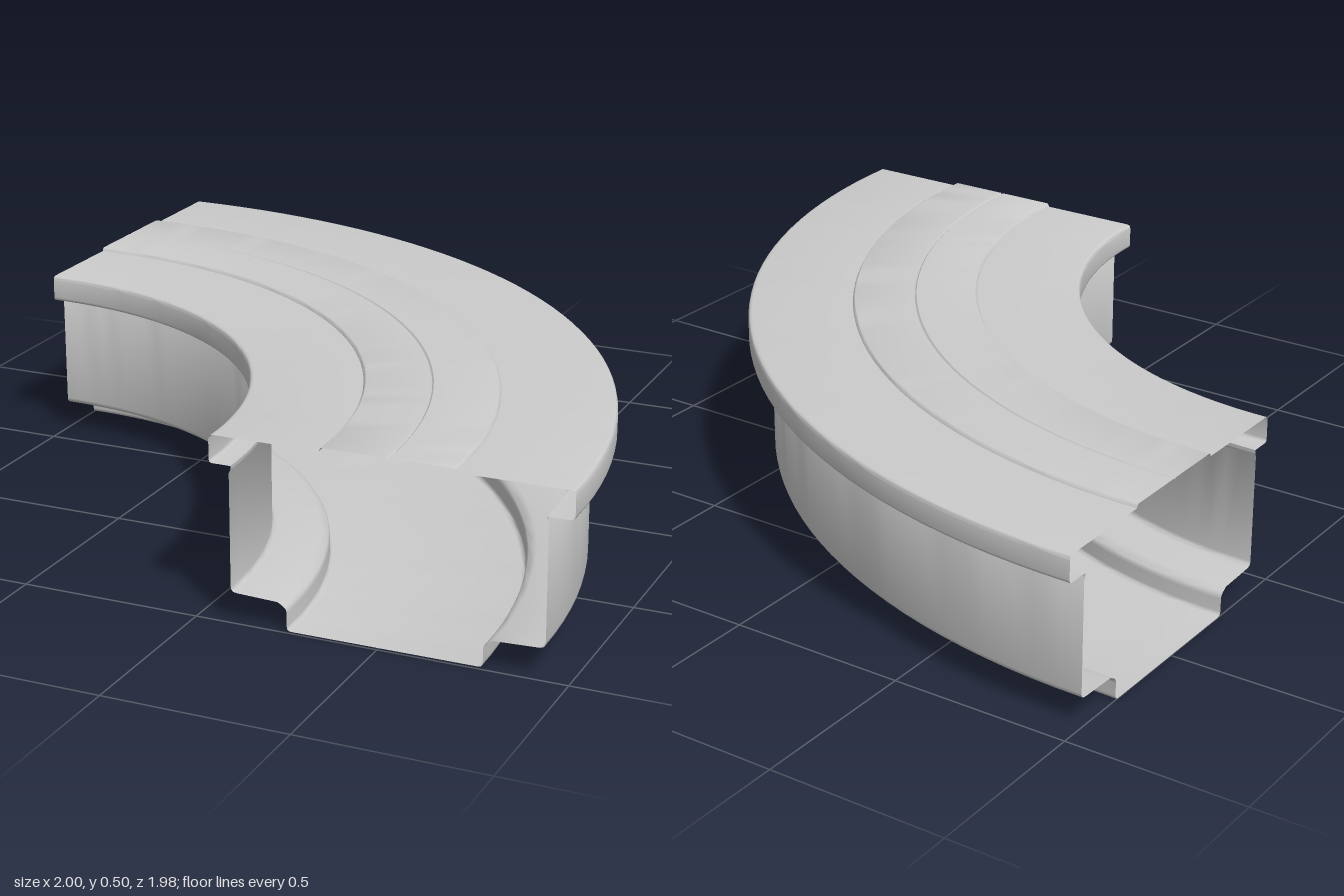
import * as THREE from 'three';
import { toCreasedNormals } from 'three/addons/utils/BufferGeometryUtils.js';

const material = new THREE.MeshStandardMaterial({ color: 0xcccccc, side: THREE.DoubleSide });
const SEGMENTS = 40;
const TRIM = 0.0045;

// Rounds each inner corner [radius, height, fillet] of an open profile
function roundedProfile(corners) {
  const points = corners.map(([r, y]) => new THREE.Vector2(r, y));
  const out = [points[0]];
  for (let i = 1; i < points.length - 1; i++) {
    const p = points[i];
    const fillet = corners[i][2] || 0;
    if (!fillet) { out.push(p); continue; }
    const a = p.clone().add(points[i - 1].clone().sub(p).setLength(fillet));
    const b = p.clone().add(points[i + 1].clone().sub(p).setLength(fillet));
    out.push(...new THREE.QuadraticBezierCurve(a, p, b).getPoints(3));
  }
  out.push(points[points.length - 1]);
  return out;
}

// Sweeps a profile through the quarter turn
function sweep(name, corners) {
  let geometry = new THREE.LatheGeometry(
    roundedProfile(corners), SEGMENTS, Math.PI / 2 + TRIM, Math.PI / 2 - TRIM);
  geometry.scale(1, 1, 0.994);
  geometry.translate(-1, 0, 0.996);
  geometry.deleteAttribute('uv');
  geometry = toCreasedNormals(geometry, 0.6);
  const mesh = new THREE.Mesh(geometry, material);
  mesh.name = name;
  return mesh;
}

export function createModel() {
  const group = new THREE.Group();
  group.name = 'curvedChannel';

  // Hollow lower channel: stepped base and two side walls, open at both ends
  group.add(sweep('channelBody', [
    [1.1, 0.42],
    [1.1, 0.41, 0.005],
    [1.095, 0.4],
    [1.095, 0.08, 0.015],
    [1.225, 0.075],
    [1.25, 0.06, 0.012],
    [1.25, 0, 0.012],
    [1.775, 0, 0.012],
    [1.775, 0.06, 0.012],
    [1.8, 0.075],
    [1.935, 0.08, 0.015],
    [1.935, 0.4],
    [1.93, 0.41, 0.005],
    [1.93, 0.42],
  ]));

  // Overhanging rim on the outer and inner sides of the turn
  group.add(sweep('outerRim', [
    [1.93, 0.42], [2, 0.42, 0.01], [2, 0.495, 0.012], [1.7, 0.495],
  ]));
  group.add(sweep('innerRim', [
    [1.34, 0.495], [1.04, 0.495, 0.012], [1.04, 0.42, 0.01], [1.1, 0.42],
  ]));

  // Raised middle band with a fine groove along its centre
  group.add(sweep('raisedBand', [
    [1.7, 0.495],
    [1.695, 0.505, 0.004],
    [1.524, 0.505],
    [1.52, 0.501],
    [1.516, 0.505],
    [1.345, 0.505, 0.004],
    [1.34, 0.495],
  ]));

  return group;
}
